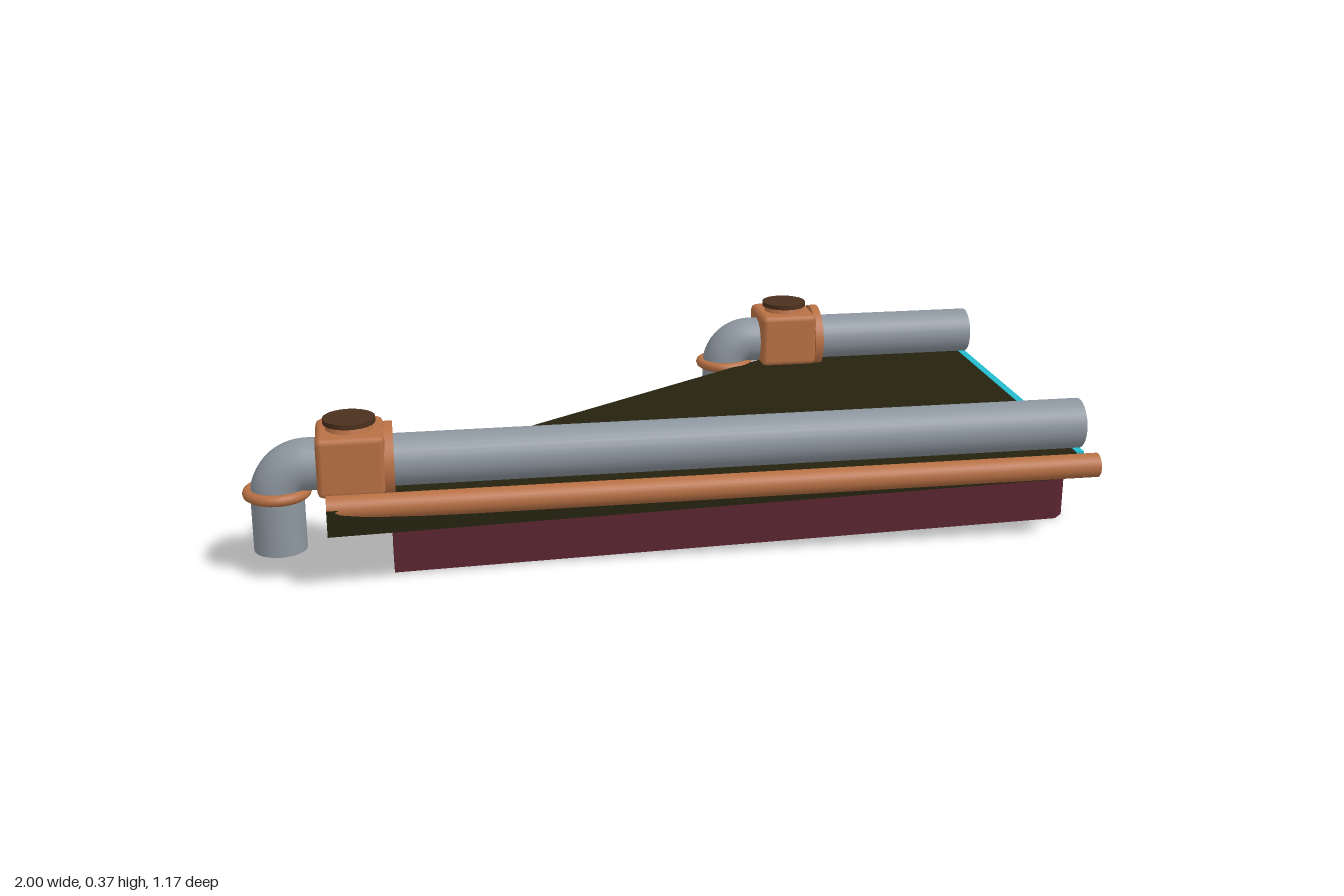
import * as THREE from 'three';
import { RoundedBoxGeometry } from 'three/addons/geometries/RoundedBoxGeometry.js';

const material = (name, color) => {
  const m = new THREE.MeshStandardMaterial({ color });
  m.name = name;
  return m;
};

export function createModel() {
  const deckGreen = material('dark olive', 0x25230f);
  const maroon = material('maroon', 0x5a2530);
  const copper = material('copper', 0xb87044);
  const steel = material('pipe grey', 0x8d969f);
  const cyan = material('cyan', 0x25bcd0);
  const brown = material('dark brown', 0x4c301d);

  const model = new THREE.Group();
  model.name = 'pipedPlatform';

  const add = (parent, name, geometry, mat, x = 0, y = 0, z = 0) => {
    const mesh = new THREE.Mesh(geometry, mat);
    mesh.name = name;
    mesh.position.set(x, y, z);
    parent.add(mesh);
    return mesh;
  };

  // Vertical prism from an outline of [x, z] points
  const slab = (name, outline, y0, y1, mat) => {
    const shape = new THREE.Shape(outline.map(([x, z]) => new THREE.Vector2(x, -z)));
    const geometry = new THREE.ExtrudeGeometry(shape, { depth: y1 - y0, bevelEnabled: false });
    geometry.rotateX(-Math.PI / 2);
    add(model, name, geometry, mat, 0, y0, 0);
  };

  // Cylinder lying along x
  const rod = (parent, name, x0, x1, y, z, radius, mat) => {
    const geometry = new THREE.CylinderGeometry(radius, radius, x1 - x0, 28);
    geometry.rotateZ(Math.PI / 2);
    add(parent, name, geometry, mat, (x0 + x1) / 2, y, z);
  };

  // Wedge-shaped deck and the smaller hull under it
  slab('deck', [
    [-0.81, 0.415], [-0.81, 0.585], [0.97, 0.488], [1, 0.455],
    [1, -0.455], [0.97, -0.49], [0.83, -0.585], [0.645, -0.585],
  ], 0.143, 0.205, deckGreen);
  slab('hull', [
    [-0.665, 0.33], [-0.665, 0.47], [0.975, 0.39], [1, 0.365],
    [1, -0.365], [0.97, -0.395], [0.86, -0.47], [0.675, -0.47],
  ], 0, 0.143, maroon);

  // Light strip let into the wide end of the deck
  add(model, 'lightStrip', new THREE.BoxGeometry(0.0195, 0.027, 0.955), cyan, 0.9895, 0.193, 0);

  // Round bumper rails along both sides
  rod(model, 'frontRail', -0.81, 1, 0.2, 0.555, 0.029, copper);
  rod(model, 'backRail', 0.57, 1, 0.2, -0.56, 0.029, copper);

  // Pipe run: straight pipe, valve block, elbow and downspout
  const pipeRun = (name, x, z) => {
    const run = new THREE.Group();
    run.name = name;
    run.position.set(x, 0, z);
    model.add(run);
    const y = 0.262;

    rod(run, 'pipe', 0, 1 - x, y, 0, 0.061, steel);
    add(run, 'valveBlock', new RoundedBoxGeometry(0.155, 0.142, 0.172, 1, 0.014), copper, 0, 0.274, 0);
    rod(run, 'flange', 0.075, 0.097, y, 0, 0.09, copper);
    add(run, 'valveStem', new THREE.CylinderGeometry(0.05, 0.055, 0.02, 24), copper, 0, 0.351, 0);
    add(run, 'valveCap', new THREE.CylinderGeometry(0.06, 0.06, 0.012, 24), brown, 0, 0.364, 0);

    const path = new THREE.CurvePath();
    const corner = [];
    for (let i = 0; i <= 12; i++) {
      const a = Math.PI / 2 + (i / 12) * Math.PI / 2;
      corner.push(new THREE.Vector3(-0.1 + 0.07 * Math.cos(a), y - 0.07 + 0.07 * Math.sin(a), 0));
    }
    corner.unshift(new THREE.Vector3(-0.06, y, 0));
    const curve = new THREE.CatmullRomCurve3(corner);
    add(run, 'elbow', new THREE.TubeGeometry(curve, 24, 0.061, 24), steel);
    add(run, 'downspout', new THREE.CylinderGeometry(0.061, 0.061, 0.137, 24), steel, -0.17, 0.1285, 0);
    const ring = new THREE.TorusGeometry(0.066, 0.013, 10, 28);
    ring.rotateX(Math.PI / 2);
    add(run, 'collar', ring, copper, -0.17, 0.2, 0);
  };
  pipeRun('frontPipeRun', -0.752, 0.423);
  pipeRun('backPipeRun', 0.465, -0.43);

  return model;
}
